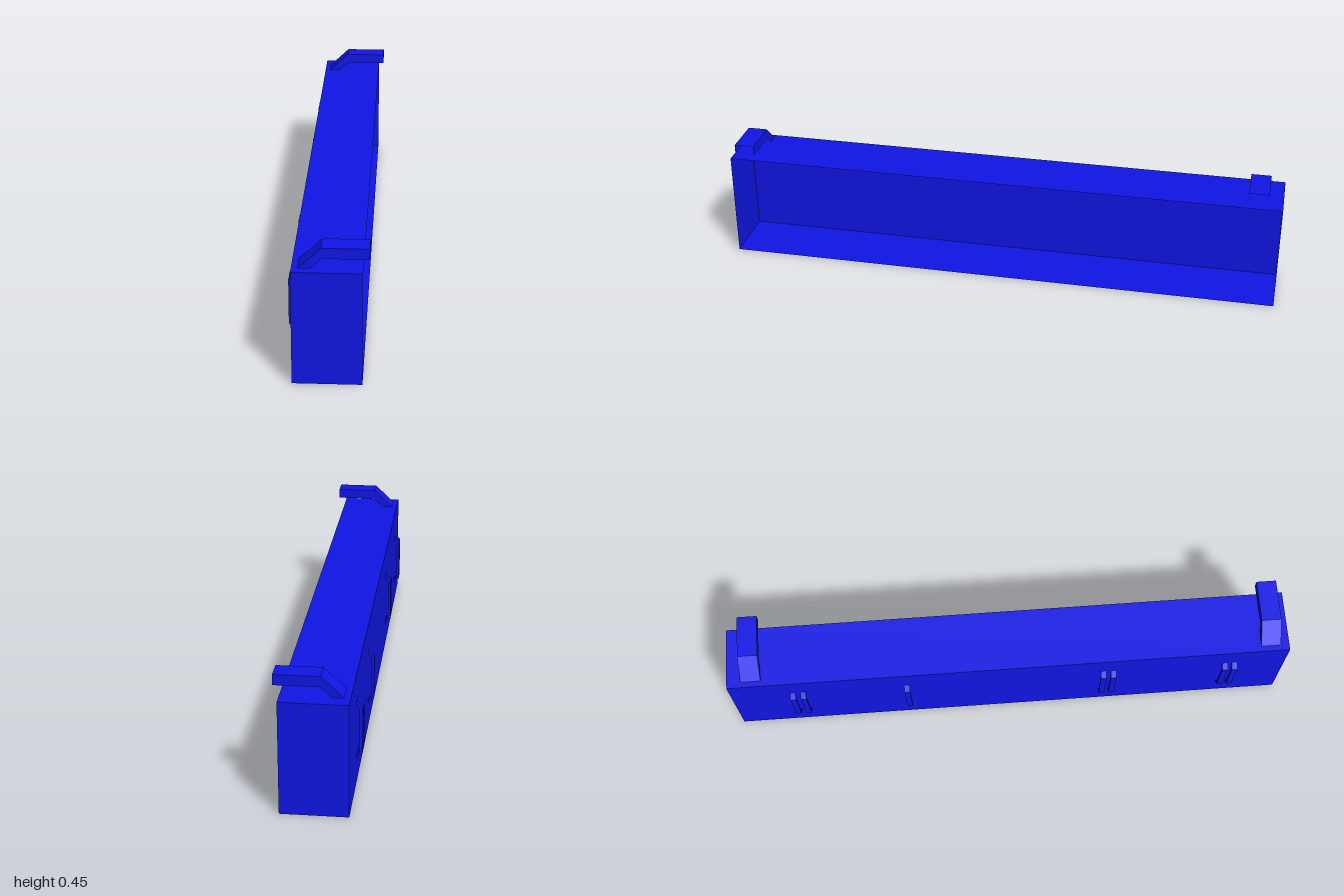
import * as THREE from 'three';

const material = new THREE.MeshStandardMaterial({ color: 0x1016e6, side: THREE.DoubleSide, flatShading: true });

const shapeOf = (points) => new THREE.Shape(points.map(([x, y]) => new THREE.Vector2(x, y)));

function addMesh(parent, name, geometry, z = 0) {
  const mesh = new THREE.Mesh(geometry, material);
  mesh.name = name;
  mesh.position.z = z;
  parent.add(mesh);
  return mesh;
}

// Sheet that sweeps a polyline in x, y across a width in z
function sheet(points, width) {
  const h = width / 2;
  const positions = [];
  for (let i = 0; i < points.length - 1; i++) {
    const [ax, ay] = points[i];
    const [bx, by] = points[i + 1];
    positions.push(ax, ay, -h, ax, ay, h, bx, by, h, ax, ay, -h, bx, by, h, bx, by, -h);
  }
  const geometry = new THREE.BufferGeometry();
  geometry.setAttribute('position', new THREE.Float32BufferAttribute(positions, 3));
  geometry.computeVertexNormals();
  return geometry;
}

export function createModel() {
  const group = new THREE.Group();
  group.name = 'wallTray';

  // Thin-walled body, open on the +x side
  const body = new THREE.BoxGeometry(0.22, 0.384, 2);
  body.setIndex(Array.from(body.index.array).slice(6));
  body.clearGroups();
  body.translate(0, 0.192, 0);
  addMesh(group, 'body', body);

  // Bent hooks: channels open underneath and at the tip
  const hookTop = [[-0.09, 0.384], [-0.018, 0.452], [0.13, 0.452]];
  const hookSide = [...hookTop, [0.13, 0.417], [-0.015, 0.417], [-0.052, 0.384]];
  const hookWidth = 0.07;
  for (const z of [0.935, -0.915]) {
    const hook = new THREE.Group();
    hook.name = 'hook';
    hook.position.z = z;
    addMesh(hook, 'hookTop', sheet(hookTop, hookWidth));
    for (const s of [-1, 1]) {
      addMesh(hook, 'hookSide', new THREE.ShapeGeometry(shapeOf(hookSide)), s * hookWidth / 2);
    }
    group.add(hook);
  }

  // Slim loops on the closed -x side
  const loopShape = shapeOf([
    [-0.11, 0.29], [-0.131, 0.27], [-0.131, 0.115], [-0.11, 0.094],
    [-0.11, 0.102], [-0.121, 0.117], [-0.121, 0.268], [-0.11, 0.282],
  ]);
  const loopWidth = 0.02;
  const loop = new THREE.ExtrudeGeometry(loopShape, { depth: loopWidth, bevelEnabled: false });
  loop.translate(0, 0, -loopWidth / 2);
  for (const z of [-0.78, -0.743, -0.37, 0.34, 0.376, 0.78, 0.815]) {
    addMesh(group, 'cableLoop', loop, z);
  }
  return group;
}
